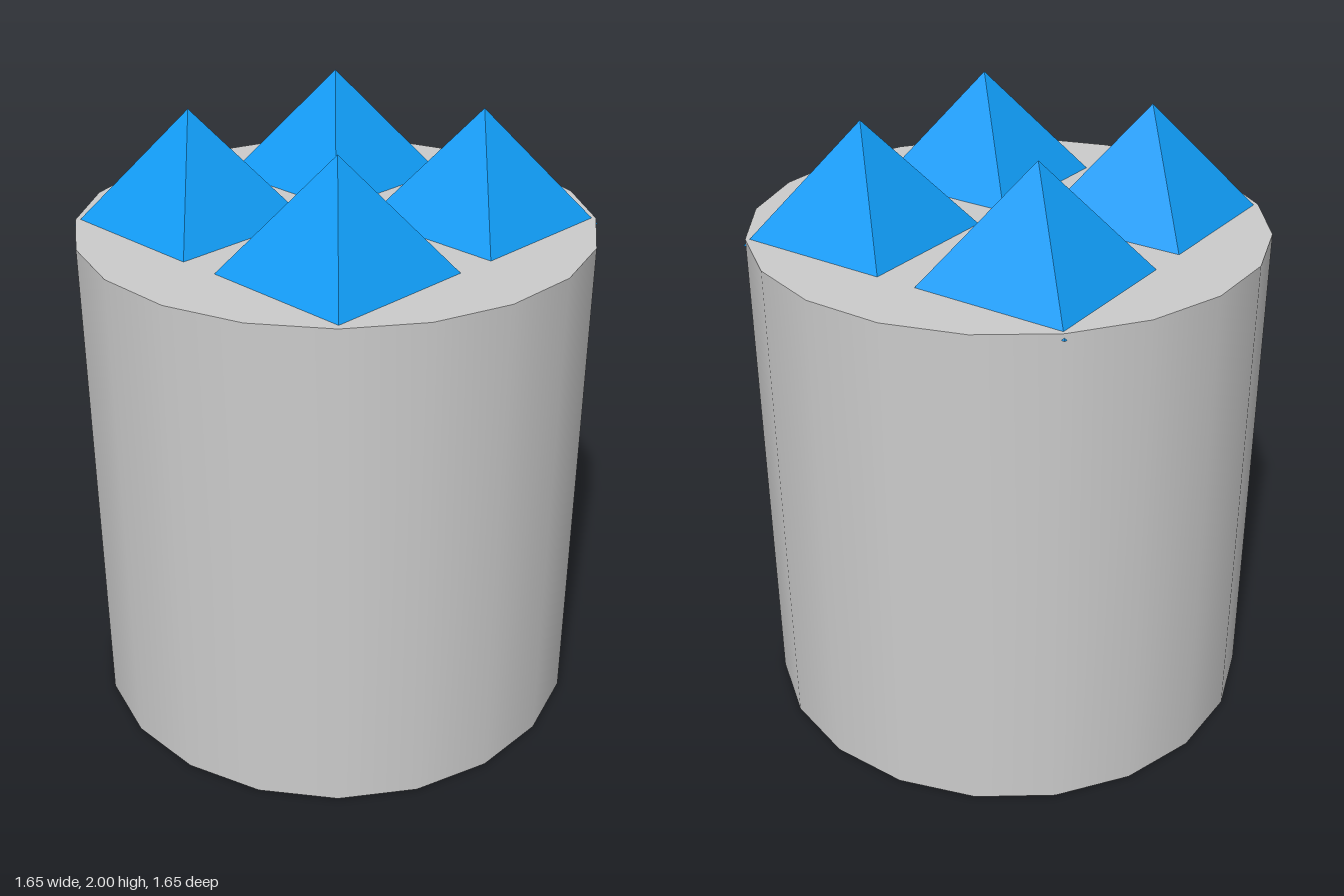
import * as THREE from 'three';

export function createModel() {
  const model = new THREE.Group();
  const grey = new THREE.MeshStandardMaterial({ color: 0xcccccc });
  const blue = new THREE.MeshStandardMaterial({ color: 0x109bf5, flatShading: true });

  // Round body: 20 sides, smooth wall, flat caps
  const bodyHeight = 1.645;
  const body = new THREE.Mesh(new THREE.CylinderGeometry(0.82, 0.82, bodyHeight, 20), grey);
  body.name = 'body';
  body.position.set(-0.003, bodyHeight / 2, 0.003);
  model.add(body);

  // Four pyramids, sunk slightly into the top so their outer corners just reach the rim
  const size = 0.375;
  const pyramid = new THREE.ConeGeometry(size, size, 4);
  const spots = { left: [0.449, 0], right: [-0.453, 0], front: [-0.002, 0.445], back: [-0.002, -0.449] };
  for (const [side, [x, z]] of Object.entries(spots)) {
    const spike = new THREE.Mesh(pyramid, blue);
    spike.name = side + 'Pyramid';
    spike.position.set(x, 2 - size / 2, z);
    model.add(spike);
  }
  return model;
}
